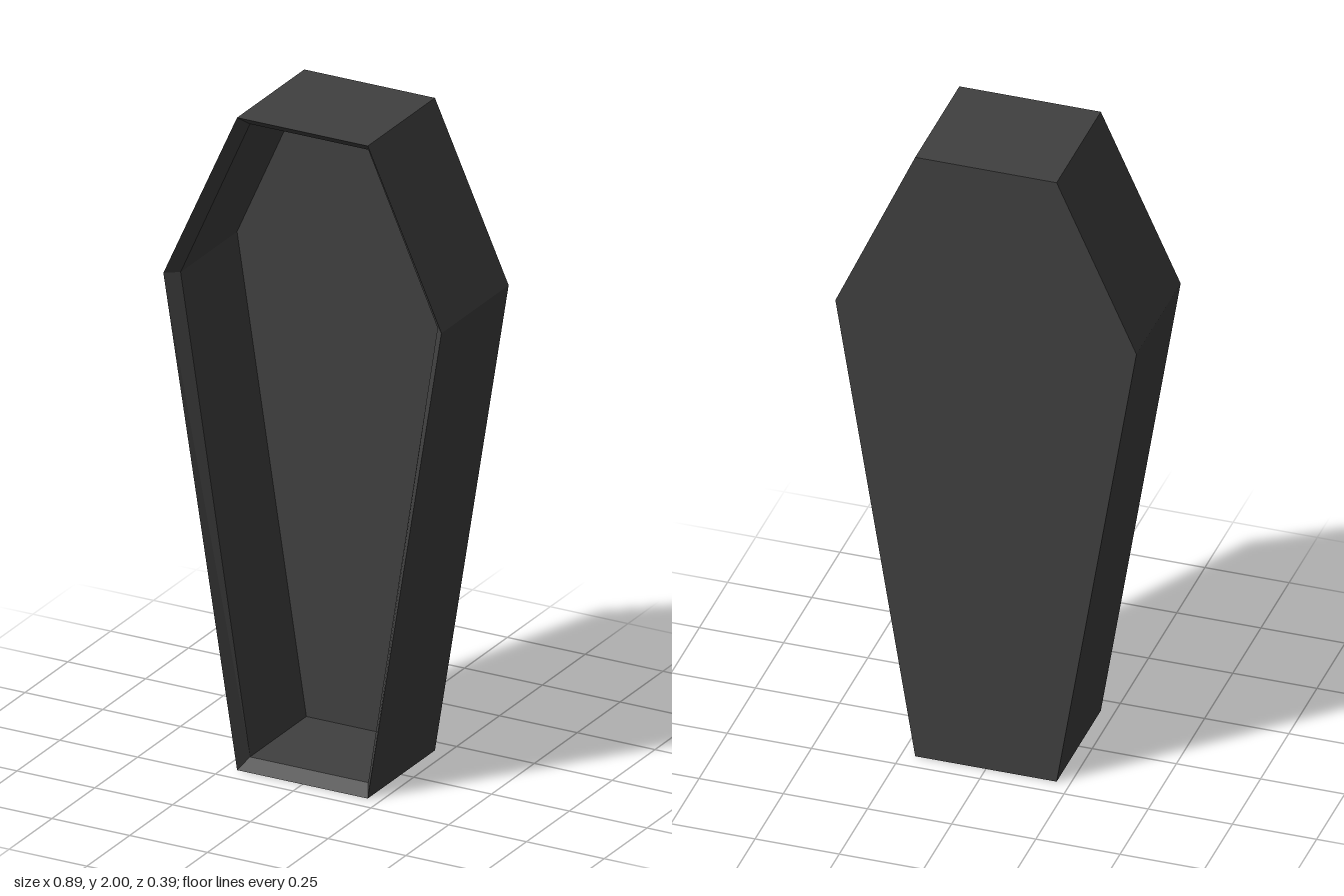
import * as THREE from 'three';

// Six-sided outline, counter-clockwise seen from the front
const outline = (end, mid, bottom, shoulder, top, z) => [
  [-end, bottom], [end, bottom], [mid, shoulder], [end, top], [-end, top], [-mid, shoulder],
].map(([x, y]) => new THREE.Vector3(x, y, z));

const outer = (z) => outline(0.21, 0.447, 0, 1.475, 2, z);
const inner = (z) => outline(0.19, 0.413, 0.03, 1.47, 1.97, z);

function facets(triangles) {
  const geometry = new THREE.BufferGeometry().setFromPoints(triangles);
  geometry.computeVertexNormals();
  return geometry;
}

// Band of flat quads joining two outlines
function band(a, b) {
  const tris = [];
  a.forEach((p, i) => {
    const j = (i + 1) % a.length;
    tris.push(p, a[j], b[j], p, b[j], b[i]);
  });
  return facets(tris);
}

// Flat panel filling an outline
function panel(loop, facesBack) {
  const tris = [];
  for (let i = 1; i < loop.length - 1; i++) {
    tris.push(loop[0], ...(facesBack ? [loop[i + 1], loop[i]] : [loop[i], loop[i + 1]]));
  }
  return facets(tris);
}

export function createModel() {
  const group = new THREE.Group();
  group.name = 'openCoffin';
  const material = new THREE.MeshStandardMaterial({ color: 0x404040, flatShading: true });
  const add = (name, geometry) => {
    const mesh = new THREE.Mesh(geometry, material);
    mesh.name = name;
    group.add(mesh);
  };

  const back = -0.196, front = 0.196, rim = 0.157, floor = -0.172;

  // Outside of the box
  add('backPanel', panel(outer(back), true));
  add('outerWalls', band(outer(back), outer(front)));

  // Rim slanting inward, then the hollow
  add('bevelledRim', band(outer(front), inner(rim)));
  add('innerWalls', band(inner(rim), inner(floor)));
  add('innerBack', panel(inner(floor), false));

  return group;
}
